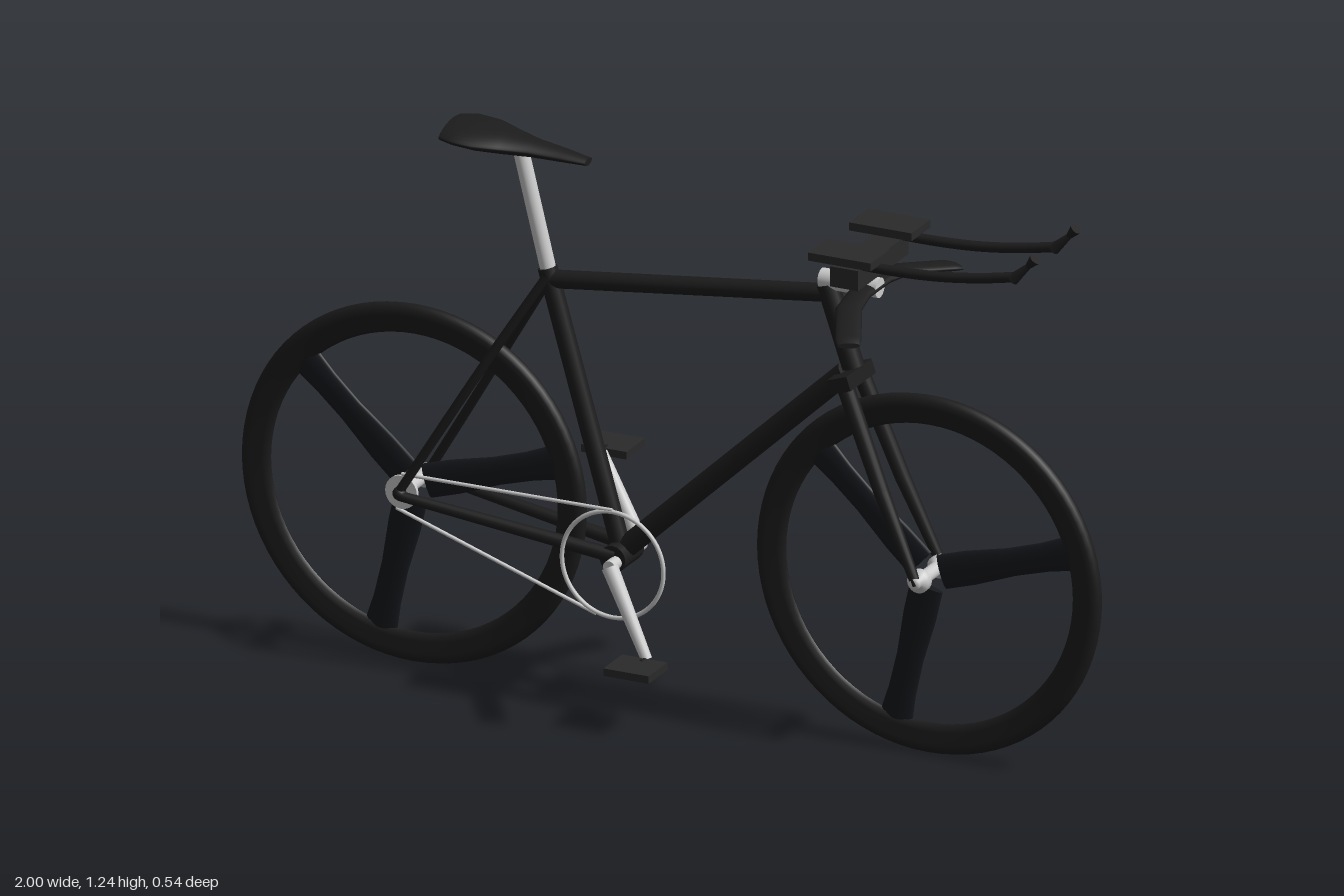
import * as THREE from 'three';

const V = (x, y, z = 0) => new THREE.Vector3(x, y, z);
const mat = (color) => new THREE.MeshStandardMaterial({ color });
const black = mat(0x1c1c1c), blade = mat(0x16181c), padGrey = mat(0x2a2a2a), metal = mat(0xcccccc);

export function createModel() {
  const root = new THREE.Group();

  const add = (name, geo, material, parent = root) => {
    const m = new THREE.Mesh(geo, material);
    m.name = name;
    parent.add(m);
    return m;
  };

  // Round tube from a to b, optionally tapered
  const rod = (name, a, b, ra, rb = ra, material = black, parent = root) => {
    const d = b.clone().sub(a);
    const m = add(name, new THREE.CylinderGeometry(rb, ra, d.length(), 18), material, parent);
    m.position.copy(a).addScaledVector(d, 0.5);
    m.quaternion.setFromUnitVectors(V(0, 1, 0), d.normalize());
    return m;
  };

  const box = (name, size, pos, material = padGrey) => {
    const m = add(name, new THREE.BoxGeometry(...size), material);
    m.position.set(...pos);
    return m;
  };

  const bent = (name, pts, r, material = black, closed = false, parent = root) =>
    add(name, new THREE.TubeGeometry(new THREE.CatmullRomCurve3(pts, closed, 'centripetal'), closed ? 160 : 28, r, 10, closed), material, parent);

  // Skin over oval sections { c, u, v }; u x v points along the run
  const loft = (sections, n = 24, sharp = 1) => {
    const pos = [], idx = [];
    const ring = ({ c, u, v }) => {
      for (let j = 0; j < n; j++) {
        const t = (j / n) * Math.PI * 2, k = Math.cos(t);
        const p = c.clone().addScaledVector(u, Math.sign(k) * Math.abs(k) ** sharp).addScaledVector(v, Math.sin(t));
        pos.push(p.x, p.y, p.z);
      }
    };
    sections.forEach(ring);
    for (let i = 0; i < sections.length - 1; i++) {
      for (let j = 0; j < n; j++) {
        const a = i * n + j, b = i * n + (j + 1) % n;
        idx.push(a, b, a + n, b, b + n, a + n);
      }
    }
    // Flat end caps with their own vertices
    [sections[0], sections[sections.length - 1]].forEach((s, e) => {
      const base = pos.length / 3;
      ring(s);
      for (let j = 1; j < n - 1; j++) {
        idx.push(base, base + (e ? j : j + 1), base + (e ? j + 1 : j));
      }
    });
    const g = new THREE.BufferGeometry();
    g.setAttribute('position', new THREE.Float32BufferAttribute(pos, 3));
    g.setIndex(idx);
    g.computeVertexNormals();
    return g;
  };

  // Wheels: deep rim with round tyre, three blades and a flanged hub
  const rimProfile = [[0.333, 0], [0.337, -0.008], [0.35, -0.012], [0.368, -0.012], [0.376, -0.015],
    [0.388, -0.014], [0.397, -0.008], [0.4, 0], [0.397, 0.008], [0.388, 0.014], [0.376, 0.015],
    [0.368, 0.012], [0.35, 0.012], [0.337, 0.008], [0.333, 0]].map(([r, y]) => new THREE.Vector2(r, y));
  const bladeGeo = loft([[0.03, 0.038], [0.1, 0.038], [0.2, 0.031], [0.28, 0.032], [0.345, 0.038]]
    .map(([r, w]) => ({ c: V(r, 0), u: V(0, w), v: V(0, 0, 0.01) })));
  const hubProfile = [[0, -0.072], [0.012, -0.072], [0.012, -0.06], [0.025, -0.056], [0.025, -0.04], [0.015, -0.034],
    [0.015, 0.034], [0.025, 0.04], [0.025, 0.056], [0.012, 0.06], [0.012, 0.072], [0, 0.072]]
    .map(([r, y]) => new THREE.Vector2(r, y));
  for (const [name, x] of [['rearWheel', -0.6], ['frontWheel', 0.597]]) {
    const wheel = new THREE.Group();
    wheel.name = name;
    wheel.position.set(x, 0.405, 0);
    root.add(wheel);
    add('rimAndTyre', new THREE.LatheGeometry(rimProfile, 80), black, wheel).rotation.x = Math.PI / 2;
    add('hub', new THREE.LatheGeometry(hubProfile, 20), metal, wheel).rotation.x = Math.PI / 2;
    for (let i = 0; i < 3; i++) {
      add('wheelBlade', bladeGeo, blade, wheel).rotation.z = THREE.MathUtils.degToRad(17 + 120 * i);
    }
  }

  // Frame
  const bottom = V(-0.118, 0.335), cluster = V(-0.285, 0.915);
  rod('seatTube', bottom, V(-0.291, 0.94), 0.021);
  rod('topTube', cluster, V(0.37, 0.995), 0.02);
  rod('downTube', bottom, V(0.405, 0.825), 0.024);
  rod('headTube', V(0.36, 1.015), V(0.42, 0.838), 0.024);
  rod('bottomBracket', V(-0.118, 0.33, -0.045), V(-0.118, 0.33, 0.045), 0.03);
  for (const s of [1, -1]) {
    bent('seatStay', [V(-0.285, 0.925, 0.016 * s), V(-0.4, 0.74, 0.045 * s), V(-0.5, 0.575, 0.062 * s), V(-0.6, 0.41, 0.072 * s)], 0.01);
    rod('chainStay', V(-0.6, 0.4, 0.072 * s), V(-0.115, 0.335, 0.036 * s), 0.011, 0.016);
    add('dropout', new THREE.SphereGeometry(0.015, 16, 12), black).position.set(-0.6, 0.405, 0.071 * s);
  }

  // Fork
  box('forkCrown', [0.048, 0.032, 0.12], [0.415, 0.815, 0], black).rotation.z = 0.33;
  for (const s of [1, -1]) {
    rod('forkLeg', V(0.415, 0.82, 0.038 * s), V(0.51, 0.59, 0.05 * s), 0.019, 0.017);
    rod('forkLegTip', V(0.51, 0.59, 0.05 * s), V(0.597, 0.4, 0.062 * s), 0.017, 0.011);
  }

  // Seat post and saddle
  rod('seatPost', V(-0.285, 0.92), V(-0.352, 1.19), 0.017, 0.017, metal);
  add('saddle', loft([
    [-0.51, 1.216, 0.022, 0.07], [-0.48, 1.216, 0.024, 0.083], [-0.43, 1.212, 0.025, 0.081],
    [-0.38, 1.207, 0.023, 0.06], [-0.32, 1.202, 0.018, 0.037], [-0.25, 1.197, 0.013, 0.027], [-0.196, 1.192, 0.008, 0.018],
  ].map(([x, y, h, w]) => ({ c: V(x, y), u: V(0, h), v: V(0, 0, w) })), 32, 1.4), black);

  // Stem and base bar with swept wings
  rod('stem', V(0.347, 1.025), V(0.482, 1.025), 0.022, 0.022, metal);
  const wing = (x, y, z, w, skew, h) => ({ c: V(x, y, z), u: V(w * Math.cos(skew), 0, -w * Math.sin(skew)), v: V(0, h) });
  const half = [[0.535, 0.994, 0.258, 0.024, 0.5, 0.006], [0.525, 0.999, 0.24, 0.028, 0.5, 0.009],
    [0.473, 1.021, 0.13, 0.028, 0.35, 0.01], [0.458, 1.024, 0.05, 0.026, 0, 0.011]];
  add('baseBar', loft([
    ...half.map(([x, y, z, w, k, h]) => wing(x, y, -z, w, -k, h)),
    ...[...half].reverse().map((p) => wing(...p)),
  ]), black);

  // Aero bars: bridge, arm pads, extensions and end levers
  box('bridge', [0.065, 0.045, 0.24], [0.457, 1.083, 0]);
  rod('bridgeRiser', V(0.457, 1.03), V(0.457, 1.065), 0.016);
  for (const s of [1, -1]) {
    const z = 0.097 * s;
    box('armPad', [0.145, 0.018, 0.09], [0.457, 1.128, z]);
    bent('extension', [V(0.43, 1.112, z), V(0.55, 1.11, z), V(0.66, 1.115, z), V(0.76, 1.128, z), V(0.845, 1.145, z)], 0.011);
    rod('leverNeck', V(0.838, 1.139, z), V(0.875, 1.175, z), 0.013, 0.006);
    rod('leverEnd', V(0.872, 1.172, z), V(0.89, 1.193, z), 0.006, 0.013);
  }

  // Drivetrain
  const axle = V(-0.11, 0.325), R = 0.122, cog = V(-0.6, 0.405), r = 0.04;
  add('chainring', new THREE.TorusGeometry(R - 0.004, 0.005, 8, 72), metal).position.set(axle.x, axle.y, 0.06);
  const sprocket = add('sprocket', new THREE.CylinderGeometry(r - 0.003, r - 0.003, 0.008, 24), metal);
  sprocket.position.set(cog.x, cog.y, 0.06);
  sprocket.rotation.x = Math.PI / 2;
  // Straight chain runs tangent to both toothed wheels
  const lean = Math.atan2(axle.y - cog.y, axle.x - cog.x);
  const spread = Math.acos((r - R) / axle.distanceTo(cog));
  for (const s of [1, -1]) {
    const a = lean + s * spread;
    const touch = (c, k) => V(c.x + k * Math.cos(a), c.y + k * Math.sin(a), 0.06);
    rod('chainRun', touch(cog, r), touch(axle, R), 0.004, 0.004, metal);
  }
  rod('crankAxle', V(-0.11, 0.325, -0.078), V(-0.11, 0.325, 0.078), 0.014, 0.014, metal);
  for (const s of [1, -1]) {
    const tip = s > 0 ? V(-0.01, 0.145, 0.103) : V(-0.215, 0.503, -0.103);
    rod('crankArm', V(-0.11, 0.325, 0.074 * s), tip, 0.018, 0.012, metal);
    rod('pedalSpindle', tip, V(tip.x, tip.y, 0.13 * s), 0.007, 0.007, black);
    box('pedal', [0.105, 0.017, 0.09], [tip.x, tip.y - 0.003, 0.157 * s]);
  }

  return root;
}
